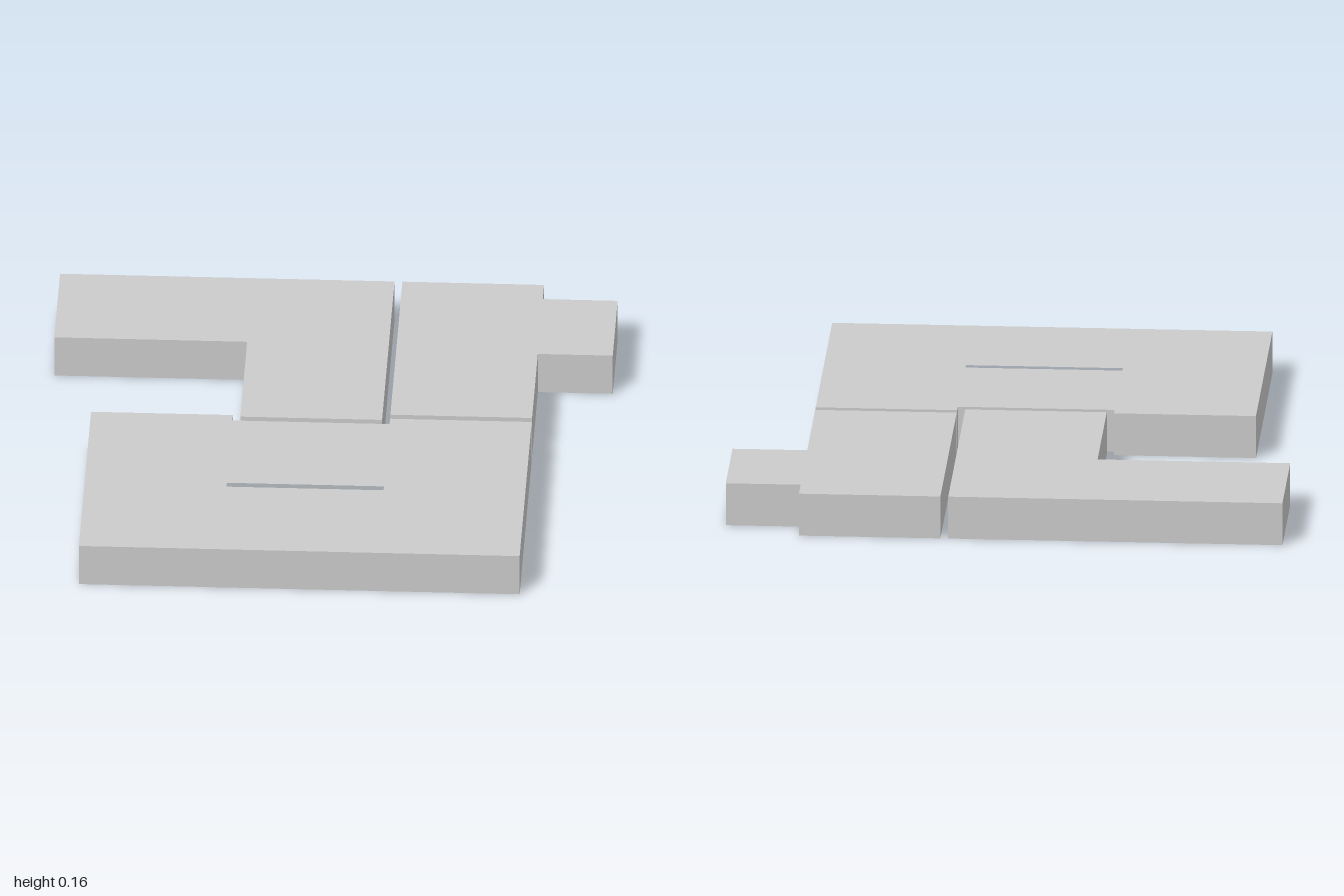
import * as THREE from 'three';

const HEIGHT = 0.158;
const material = new THREE.MeshStandardMaterial({ color: 0xcccccc, flatShading: true });

// Plan outlines are given as [x, z] corners
const toPoints = (corners) => corners.map(([x, z]) => new THREE.Vector2(x, -z));

function slab(name, outline, holes = []) {
  const shape = new THREE.Shape(toPoints(outline));
  for (const hole of holes) shape.holes.push(new THREE.Path(toPoints(hole)));
  const geometry = new THREE.ExtrudeGeometry(shape, { depth: HEIGHT, bevelEnabled: false });
  geometry.rotateX(-Math.PI / 2); // lay the plan flat, thickness upwards
  const mesh = new THREE.Mesh(geometry, material);
  mesh.name = name;
  return mesh;
}

export function createModel() {
  const group = new THREE.Group();
  group.name = 'interlockingSlabs';

  // L-shaped slab at the back right, its foot reaching into the front notch
  group.add(slab('lShapedSlab', [
    [-1, -0.957], [0.197, -0.957], [0.197, 0.02], [-0.31, 0.02], [-0.31, -0.508], [-1, -0.508],
  ]));

  // Upright slab at the back left with a side tab
  group.add(slab('tabbedSlab', [
    [0.225, -0.957], [0.732, -0.957], [0.732, -0.857], [1, -0.857],
    [1, -0.47], [0.732, -0.47], [0.732, -0.018], [0.225, -0.018],
  ]));

  // Wide front slab with a shallow notch and a narrow through slot
  group.add(slab('slottedSlab', [
    [-0.845, 0.01], [-0.337, 0.01], [-0.337, 0.048], [0.225, 0.048],
    [0.225, 0.01], [0.732, 0.01], [0.732, 0.957], [-0.845, 0.957],
  ], [
    [[-0.337, 0.488], [0.225, 0.488], [0.225, 0.515], [-0.337, 0.515]],
  ]));

  return group;
}
